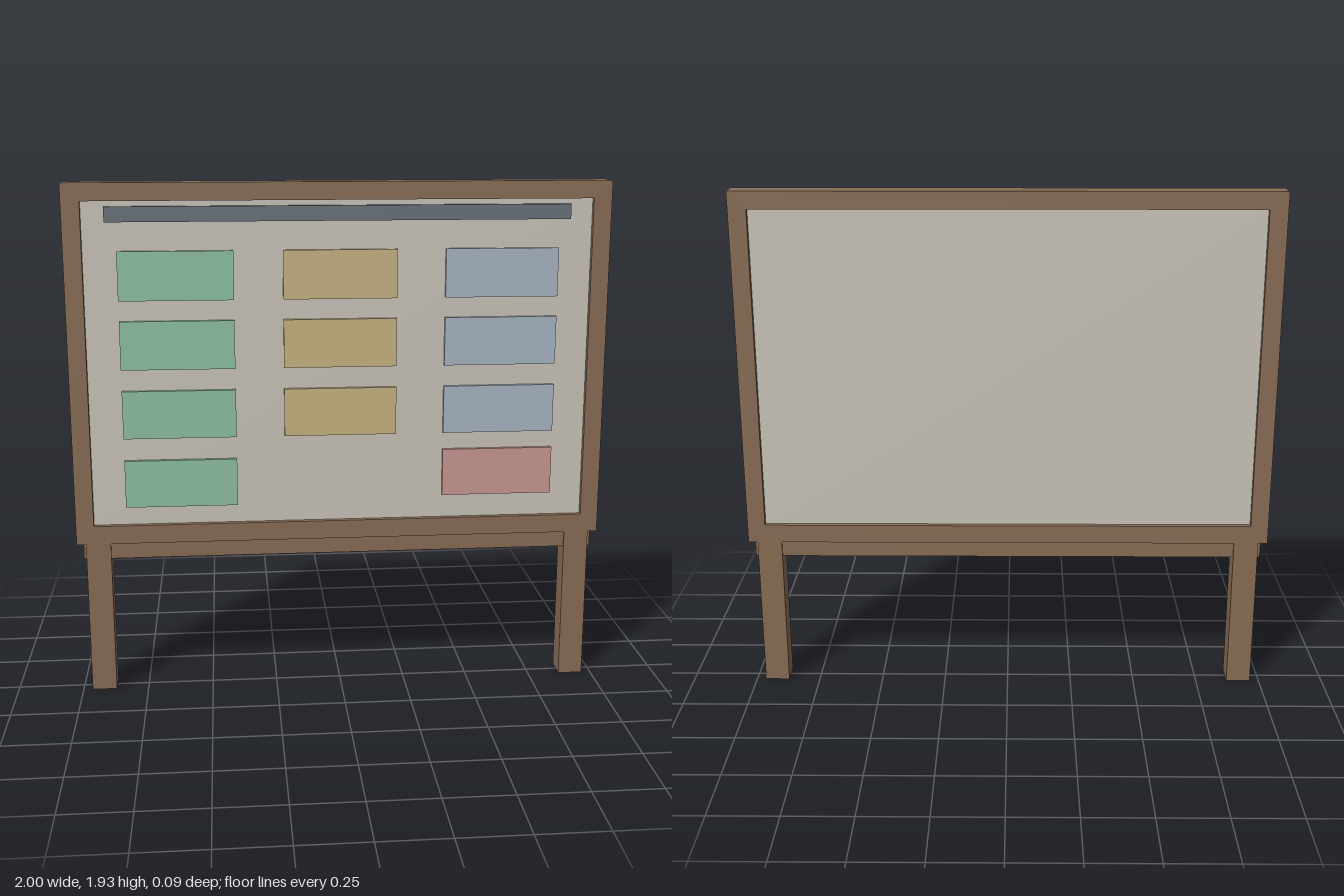
import * as THREE from 'three';

const paint = (name, color) => {
  const m = new THREE.MeshStandardMaterial({ color });
  m.name = name;
  return m;
};

export function createModel() {
  const group = new THREE.Group();
  group.name = 'noticeBoard';
  const wood = paint('brown wood', 0x896e56);
  const panel = paint('pale grey panel', 0xcbc6bc);
  const slate = paint('slate header', 0x69727a);
  const green = paint('green card', 0x8fc2a4);
  const yellow = paint('yellow card', 0xc9b583);
  const blue = paint('blue card', 0xaab6c4);
  const red = paint('red card', 0xca9892);

  // Box given by its minimum and maximum on each axis
  const box = (name, material, [x0, x1], [y0, y1], [z0, z1]) => {
    const mesh = new THREE.Mesh(new THREE.BoxGeometry(x1 - x0, y1 - y0, z1 - z0), material);
    mesh.position.set((x0 + x1) / 2, (y0 + y1) / 2, (z0 + z1) / 2);
    mesh.name = name;
    group.add(mesh);
  };

  // Frame: one rectangle with an opening
  const outline = new THREE.Shape();
  outline.moveTo(-1, 0.59).lineTo(1, 0.59).lineTo(1, 1.935).lineTo(-1, 1.935).closePath();
  const opening = new THREE.Path();
  opening.moveTo(-0.933, 0.66).lineTo(-0.933, 1.87).lineTo(0.933, 1.87).lineTo(0.933, 0.66).closePath();
  outline.holes.push(opening);
  const frameGeometry = new THREE.ExtrudeGeometry(outline, { depth: 0.09, bevelEnabled: false });
  frameGeometry.translate(0, 0, -0.045);
  const frame = new THREE.Mesh(frameGeometry, wood);
  frame.name = 'frame';
  group.add(frame);

  // Recessed panel, legs and lower rail
  box('panel', panel, [-0.94, 0.94], [0.65, 1.88], [-0.025, 0.025]);
  box('rightLeg', wood, [-0.965, -0.872], [0, 0.59], [-0.045, 0.045]);
  box('leftLeg', wood, [0.872, 0.965], [0, 0.59], [-0.045, 0.045]);
  box('lowerRail', wood, [-0.975, 0.975], [0.53, 0.595], [-0.037, 0.037]);

  // Header strip and pinned cards, column by column
  box('headerStrip', slate, [-0.85, 0.85], [1.795, 1.85], [0.02, 0.042]);
  const columns = [
    [-0.6, [[1.6, green], [1.345, green], [1.085, green], [0.82, green]]],
    [0, [[1.6, yellow], [1.345, yellow], [1.085, yellow]]],
    [0.6, [[1.6, blue], [1.345, blue], [1.085, blue], [0.84, red]]],
  ];
  for (const [x, cards] of columns)
    for (const [y, material] of cards)
      box('card', material, [x - 0.21, x + 0.21], [y - 0.09, y + 0.09], [0.02, 0.04]);

  return group;
}
